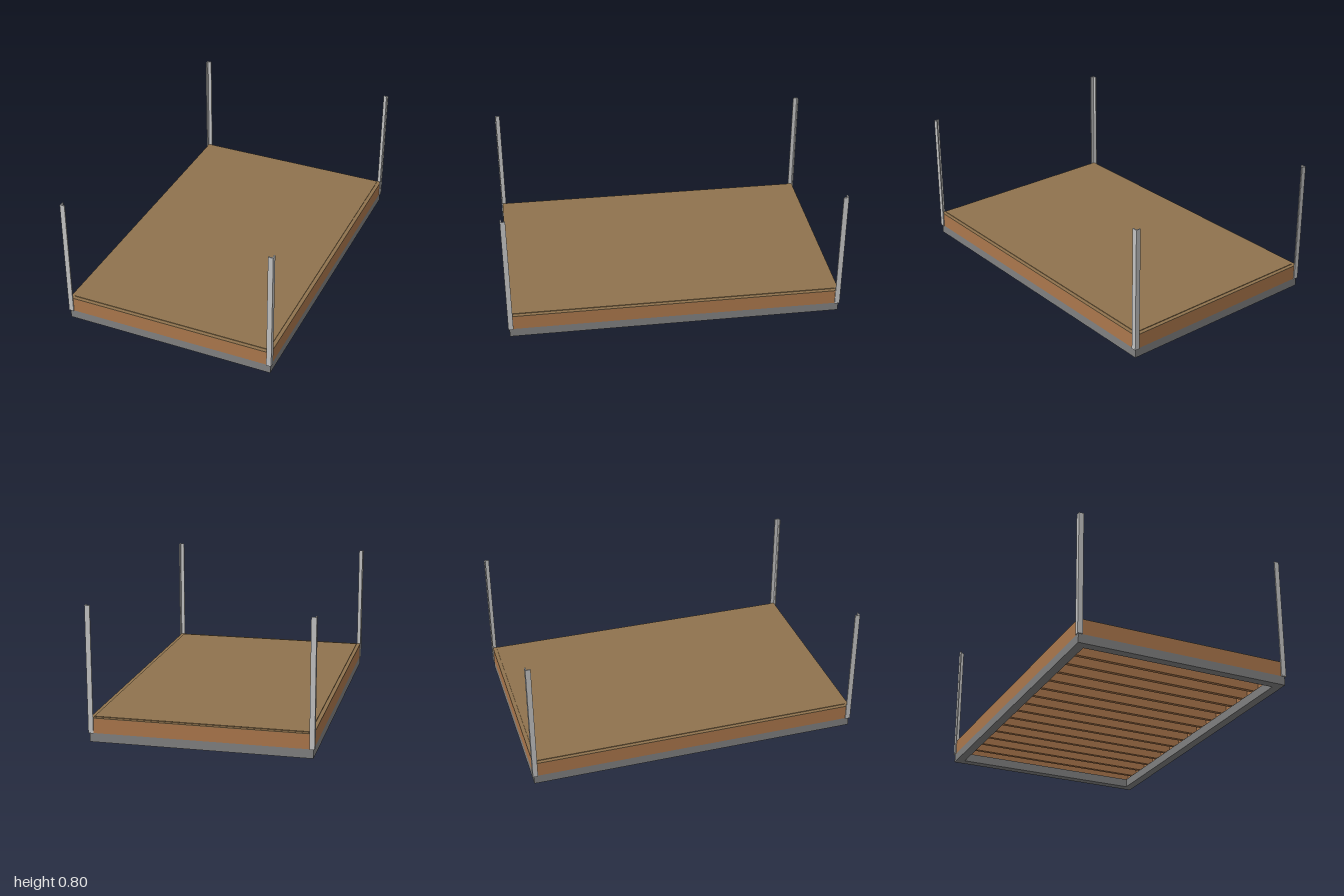
import * as THREE from 'three';

const paint = (name, color) => {
  const m = new THREE.MeshStandardMaterial({ color });
  m.name = name;
  return m;
};

export function createModel() {
  const steel = paint('frame steel', 0x808080);
  const galvanised = paint('post steel', 0xc2c2c2);
  const wood = paint('joist wood', 0xab774c);
  const sheet = paint('deck sheet', 0x8f734e);

  const group = new THREE.Group();
  const box = (name, mat, w, h, d, x, y, z) => {
    const mesh = new THREE.Mesh(new THREE.BoxGeometry(w, h, d), mat);
    mesh.name = name;
    mesh.position.set(x, y + h / 2, z); // y is the underside
    group.add(mesh);
  };

  const X = 0.645, Z = 0.993;         // half size of the deck
  const beam = 0.053, joistH = 0.086; // heights of the two layers
  const board = 0.023, ply = 0.004;

  // Square steel tubes around the base
  for (const s of [-1, 1]) {
    box('sideBeam', steel, beam, beam, 2 * Z, s * (X - beam / 2), 0, 0);
    box('endBeam', steel, 2 * (X - beam), beam, beam, 0, 0, s * (Z - beam / 2));
    box('sideRim', wood, board, joistH, 2 * Z, s * (X - board / 2), beam, 0);
  }

  // Floor joists run across, the first and last closing the ends
  const bays = 16, span = 2 * Z - board;
  for (let i = 0; i <= bays; i++) {
    const end = i === 0 || i === bays;
    box(end ? 'endRim' : 'joist', wood, 2 * (X - board), joistH, board,
      0, beam, -span / 2 + (span * i) / bays);
  }

  // Deck sheets, the upper one set in from the edge
  const top = beam + joistH;
  box('deckSheet', sheet, 2 * X, ply, 2 * Z, 0, top, 0);
  box('floorSheet', sheet, 2 * (X - board), ply, 2 * (Z - board), 0, top + ply, 0);

  // Angle-iron corner posts wrapped around the outside corners
  const leg = 0.03, t = 0.007, postTop = 0.8;
  const angle = new THREE.Shape([
    [0, 0], [leg, 0], [leg, t], [t, t], [t, leg], [0, leg],
  ].map(([x, y]) => new THREE.Vector2(x, y)));
  const postGeometry = new THREE.ExtrudeGeometry(angle, { depth: postTop - beam, bevelEnabled: false });
  postGeometry.rotateX(-Math.PI / 2); // outer corner at the origin, legs along +x and -z
  const corners = [[-1, 1, 0], [1, 1, 1], [1, -1, 2], [-1, -1, 3]];
  for (const [sx, sz, turn] of corners) {
    const post = new THREE.Mesh(postGeometry, galvanised);
    post.name = 'cornerPost';
    post.position.set(sx * (X + t), beam, sz * (Z + t));
    post.rotation.y = turn * Math.PI / 2;
    group.add(post);
  }
  return group;
}
